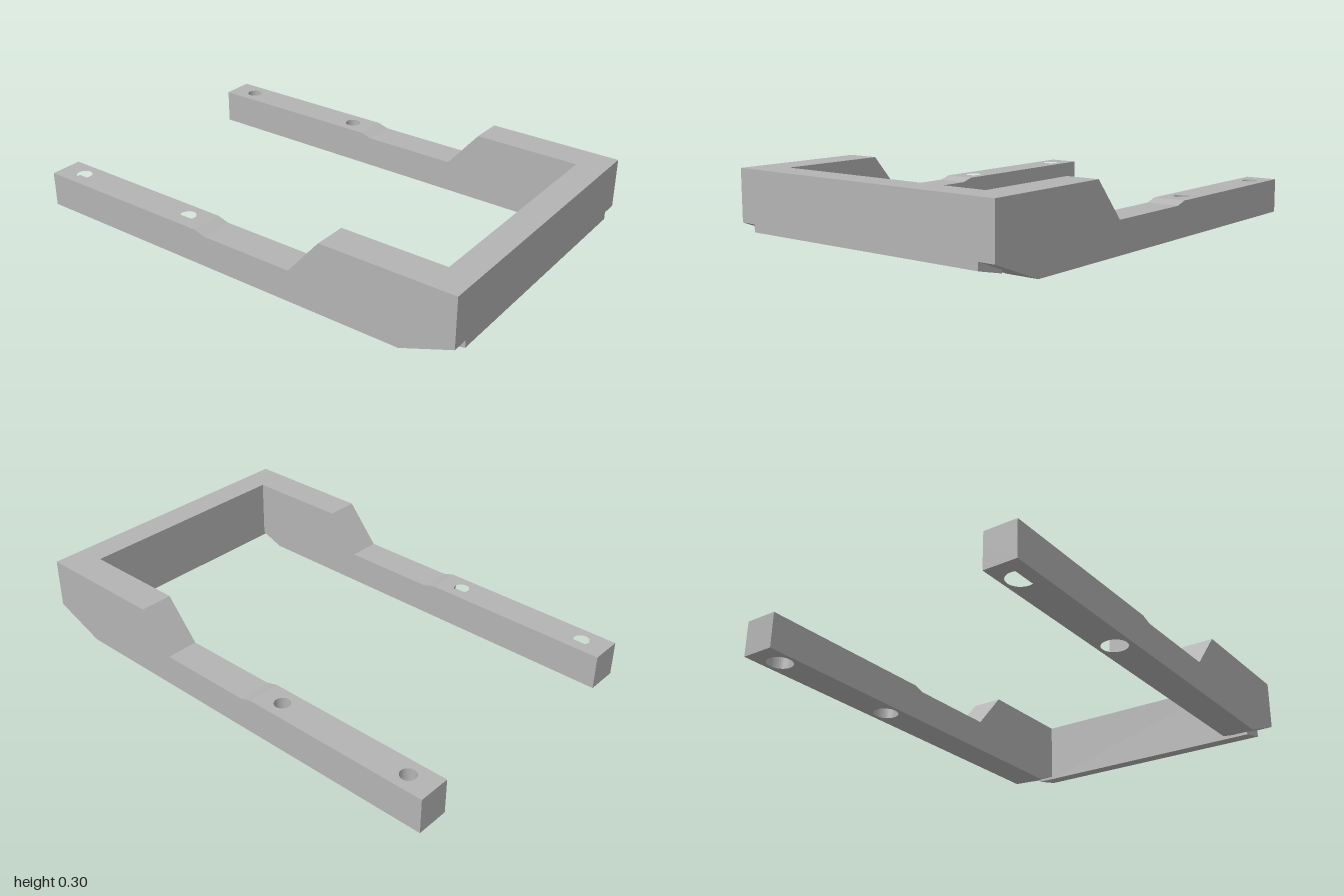
import * as THREE from 'three';

const grey = new THREE.MeshStandardMaterial({ color: 0xb4b4b4 });
grey.name = 'plain grey';

const ARM_IN = 0.495, ARM_OUT = 0.635, HOLE_Z = 0.564;
const HOLES_X = [-0.885, -0.28];
const SPLIT_X = -0.2;

const polygon = (pts) => new THREE.Shape(pts.map(([x, y]) => new THREE.Vector2(x, y)));

function part(name, geometry, parent) {
  const mesh = new THREE.Mesh(geometry, grey);
  mesh.name = name;
  parent.add(mesh);
}

// Side profile (x, y) extruded from z0 to z1
function sideExtrude(pts, z0, z1) {
  return new THREE.ExtrudeGeometry(polygon(pts), { depth: z1 - z0, bevelEnabled: false })
    .translate(0, 0, z0);
}

// Drilled slab seen from above, between heights y0 and y1
function drilledSlab(side, radius, y0, y1) {
  const a = -side * ARM_IN, b = -side * ARM_OUT;
  const shape = polygon([[-1, a], [SPLIT_X, a], [SPLIT_X, b], [-1, b]]);
  for (const x of HOLES_X) {
    const hole = new THREE.Path();
    hole.absarc(x, -side * HOLE_Z, radius, 0, Math.PI * 2, true);
    shape.holes.push(hole);
  }
  return new THREE.ExtrudeGeometry(shape, { depth: y1 - y0, bevelEnabled: false, curveSegments: 20 })
    .rotateX(-Math.PI / 2).translate(0, y0, 0);
}

export function createModel() {
  const model = new THREE.Group();
  model.name = 'forkBracket';

  // Arm outline beyond the drilled end: shallow step, ramp and tall shoulder
  const armProfile = [
    [SPLIT_X, 0], [0.775, 0], [1, 0.087], [1, 0.3], [0.425, 0.3], [0.285, 0.135],
    [-0.13, 0.135], [-0.155, 0.142], [-0.18, 0.15], [SPLIT_X, 0.15],
  ];
  // Sliver of the crossbar underside that runs beneath each arm
  const lipProfile = [[0.88, 0.028], [1, 0.056], [1, 0.087], [0.88, 0.0406]];

  for (const side of [1, -1]) {
    const arm = new THREE.Group();
    arm.name = side > 0 ? 'frontArm' : 'backArm';
    const span = (from, to) => (side > 0 ? [from, to] : [-to, -from]);
    part('armBody', sideExtrude(armProfile, ...span(ARM_IN, ARM_OUT)), arm);
    part('counterboredBase', drilledSlab(side, 0.053, 0, 0.085), arm);
    part('drilledTop', drilledSlab(side, 0.033, 0.085, 0.15), arm);
    part('crossbarLip', sideExtrude(lipProfile, ...span(ARM_IN, 0.564)), arm);
    model.add(arm);
  }

  // Crossbar joining the two arms
  const barProfile = [[0.88, 0.028], [1, 0.056], [1, 0.3], [0.88, 0.3]];
  part('crossbar', sideExtrude(barProfile, -ARM_IN, ARM_IN), model);

  return model;
}
